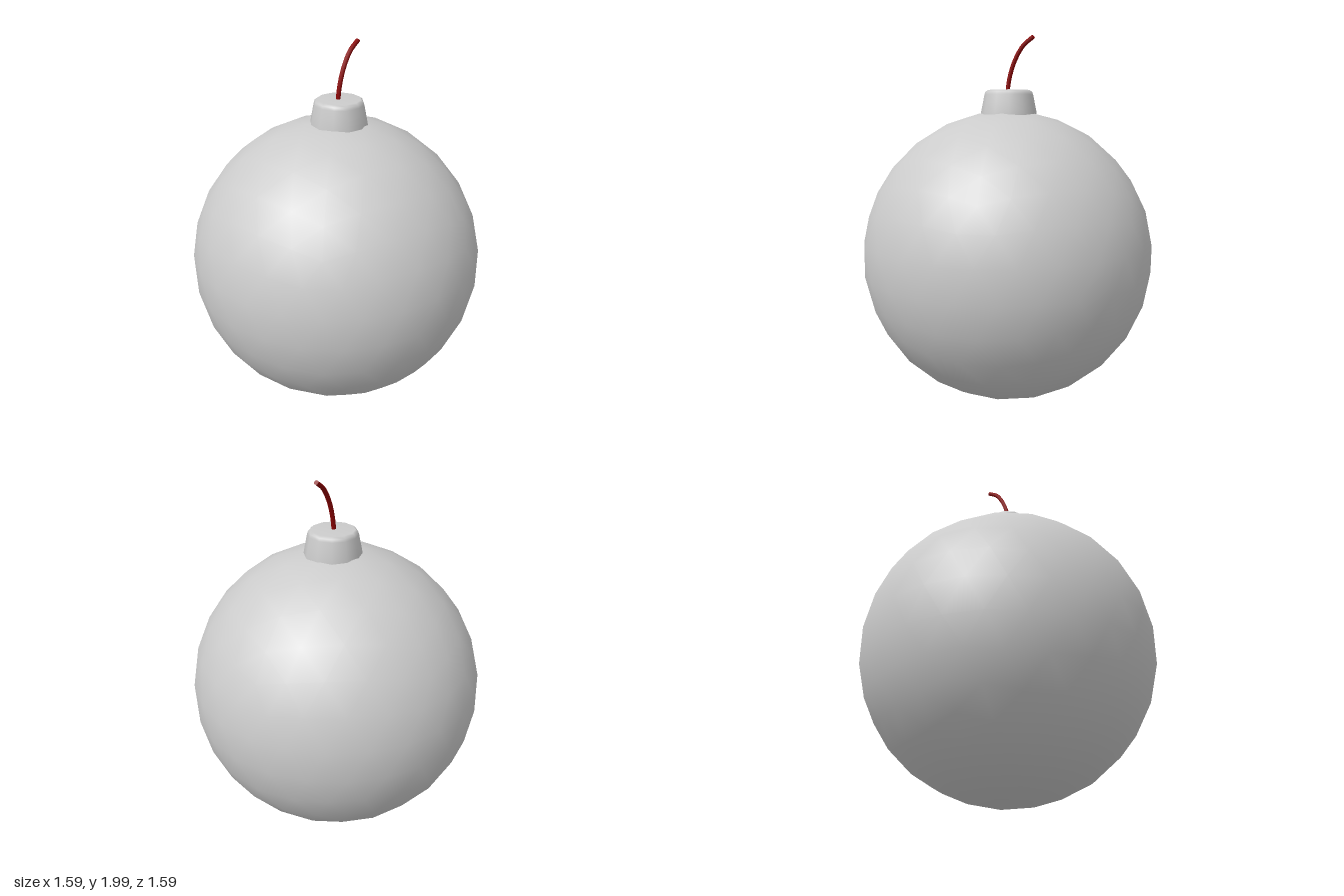
import * as THREE from 'three';

const grey = new THREE.MeshStandardMaterial({ color: 0xcccccc });
const red = new THREE.MeshStandardMaterial({ color: 0x8b0000 });

function part(name, geometry, material) {
  const mesh = new THREE.Mesh(geometry, material);
  mesh.name = name;
  return mesh;
}

export function createModel() {
  const group = new THREE.Group();
  const R = 0.8;

  // Round body: icosphere turned so that a corner sits at each pole
  const body = new THREE.IcosahedronGeometry(R, 4);
  body.rotateZ(-Math.atan(2 / (1 + Math.sqrt(5))));
  body.translate(0, R, 0);
  group.add(part('body', body, grey));

  // Neck: flared collar with a softened top rim, sunk into the body
  const profile = [
    [0.155, 1.55], [0.152, 1.59], [0.142, 1.64], [0.133, 1.685],
    [0.128, 1.7], [0.115, 1.71], [0, 1.71],
  ].map(([r, y]) => new THREE.Vector2(r, y));
  const neck = part('neck', new THREE.LatheGeometry(profile, 12, Math.PI / 2), grey);
  neck.position.set(0.012, 0, 0.01);
  group.add(neck);

  // Fuse: thin bent cord with closed ends
  const fuse = new THREE.Group();
  fuse.name = 'fuse';
  fuse.position.z = 0.01;
  const curve = new THREE.CatmullRomCurve3([
    [0.005, 1.68], [0.008, 1.73], [0.025, 1.805], [0.055, 1.877], [0.1, 1.942], [0.16, 1.985],
  ].map(([x, y]) => new THREE.Vector3(x, y, 0)));
  const radius = 0.012;
  fuse.add(part('cord', new THREE.TubeGeometry(curve, 16, radius, 8), red));
  for (const t of [0, 1]) {
    const end = part('cordEnd', new THREE.CircleGeometry(radius, 8), red);
    const outward = curve.getTangentAt(t).multiplyScalar(t ? 1 : -1);
    end.position.copy(curve.getPointAt(t));
    end.quaternion.setFromUnitVectors(new THREE.Vector3(0, 0, 1), outward);
    fuse.add(end);
  }
  group.add(fuse);

  return group;
}
